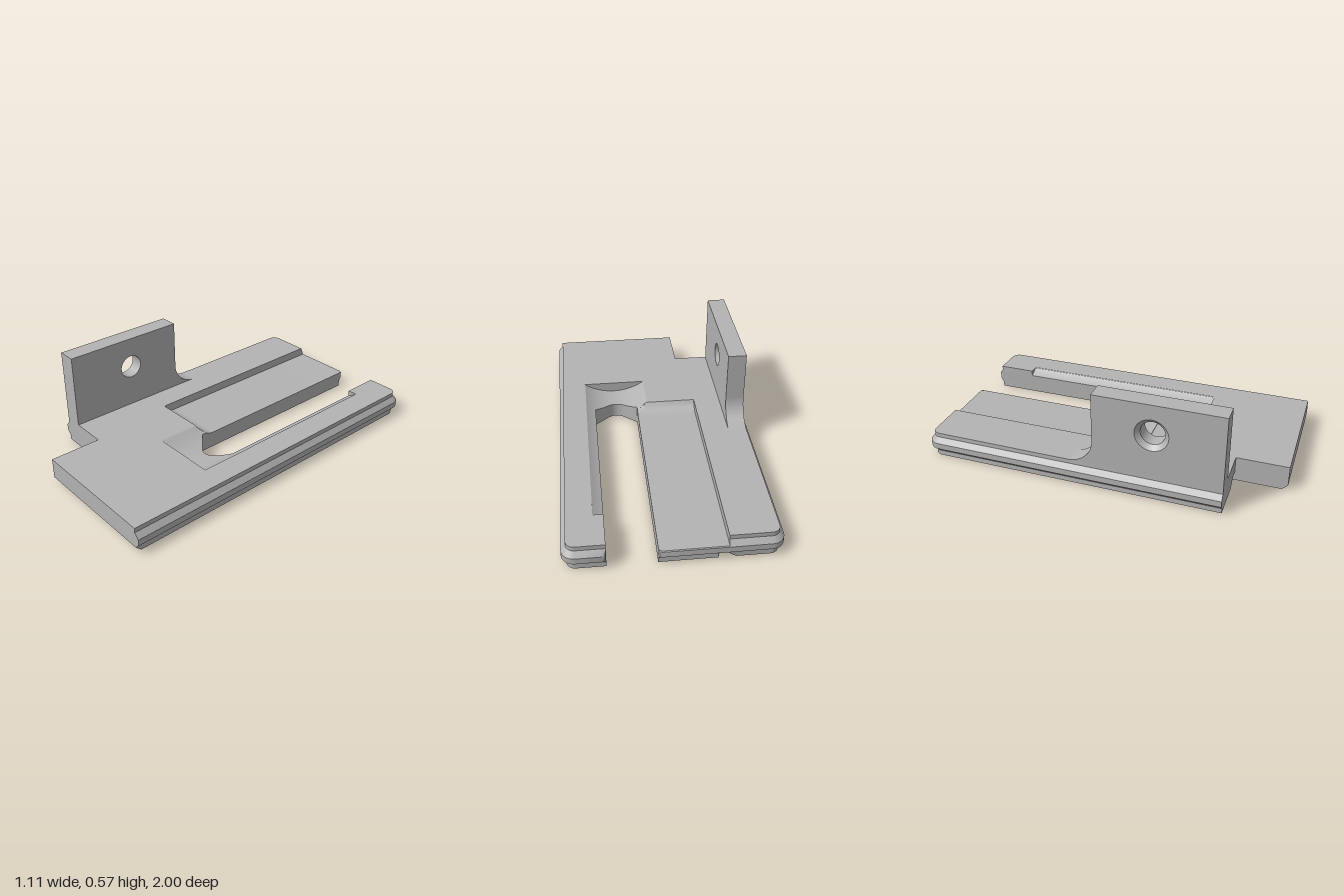
import * as THREE from 'three';
import { toCreasedNormals } from 'three/addons/utils/BufferGeometryUtils.js';

const TOP = 0.145, FLOOR = 0.095, MID = 0.2075;
const LEVELS = [0, 0.03, 0.055, 0.09, 0.12, TOP];
const INSETS = [0.025, 0.025, 0, 0, 0.025, 0.025];

// Inset of the ridged edge at height y
function inset(y) {
  for (let k = 1; k < LEVELS.length; k++) {
    if (y <= LEVELS[k]) {
      const t = (y - LEVELS[k - 1]) / (LEVELS[k] - LEVELS[k - 1]);
      return INSETS[k - 1] + t * (INSETS[k] - INSETS[k - 1]);
    }
  }
  return 0.025;
}

// Height of the round-bottomed trough around the slot
function trough(x) {
  const R = 0.315;
  return Math.min(TOP, TOP + R - 0.06 - Math.sqrt(R * R - (x - MID) ** 2));
}

// Height of the sunken channel, with its curved ramp at the front
function channel(z) {
  const r = 0.089;
  return z <= 0.13 ? FLOOR : Math.min(TOP, FLOOR + r - Math.sqrt(r * r - (z - 0.13) ** 2));
}

// Front end of the slot
function slotEnd(x) {
  const t = Math.abs(x - MID);
  if (t >= 0.1275) return 0.21;
  if (t > 0.045) return 0.21 + (0.1275 - t) * 0.85;
  return 0.28 + 0.016 * (1 - (t / 0.045) ** 2);
}

const range = (a, b, n) => Array.from({ length: n + 1 }, (_, i) => a + ((b - a) * i) / n);

// Surface through rows of points; it faces (row direction) x (direction within a row)
function surface(rows) {
  const out = [];
  const tri = (...p) => {
    const [a, b, c] = p.map((q) => new THREE.Vector3(...q));
    if (b.clone().sub(a).cross(c.clone().sub(a)).length() > 1e-9) p.forEach((q) => out.push(...q));
  };
  for (let i = 0; i + 1 < rows.length; i++) {
    for (let j = 0; j + 1 < rows[i].length; j++) {
      tri(rows[i][j], rows[i + 1][j], rows[i + 1][j + 1]);
      tri(rows[i][j], rows[i + 1][j + 1], rows[i][j + 1]);
    }
  }
  const g = new THREE.BufferGeometry();
  g.setAttribute('position', new THREE.Float32BufferAttribute(out, 3));
  return toCreasedNormals(g, 0.5);
}

const polygon = (pts) => new THREE.ShapeGeometry(new THREE.Shape(pts.map((p) => new THREE.Vector2(...p))));
const topFace = (pts, y) => polygon(pts.map(([x, z]) => [x, -z])).rotateX(-Math.PI / 2).translate(0, y, 0);
const bottomFace = (pts) => polygon(pts).rotateX(Math.PI / 2);

// Rounded back corner, from the side (s = 1 or -1) to the back
const corner = (s, r) => range(0, Math.PI / 2, 8).map((a) => [s * (0.485 + r * Math.cos(a)), -0.93 - r * Math.sin(a)]);

export function createModel() {
  const group = new THREE.Group();
  const grey = new THREE.MeshStandardMaterial({ color: 0xb3b3b3, side: THREE.DoubleSide });
  grey.name = 'grey';
  const add = (name, geometry) => {
    const mesh = new THREE.Mesh(geometry, grey);
    mesh.name = name;
    group.add(mesh);
    return mesh;
  };

  const slotXs = [...range(0.335, 0.2525, 3), ...range(0.2525, 0.1625, 8).slice(1), ...range(0.1625, 0.08, 3).slice(1)];

  // Ridged outer edge and slot walls, one sweep from right front to left front
  const path = [];
  const station = (x, z, nx, nz, y0 = 0, y1 = TOP) => path.push({ x, z, nx, nz, y0, y1 });
  const round = (s) => range(0, Math.PI / 2, 8).map((a) => [s * (0.485 + 0.07 * Math.cos(a)), -0.93 - 0.07 * Math.sin(a), -s * Math.cos(a), Math.sin(a)]);
  station(0.555, 1, -1, 0, 0.03);
  station(0.555, 0.97, -1, 0);
  round(1).forEach((p) => station(...p));
  station(0.355, -1, 0, 1);
  station(0.341, -0.994, -0.24, 0.76);
  station(0.335, -0.98, 0, 0.2);
  station(0.335, -0.975, 0, 0);
  station(0.335, -0.76, 0, 0);
  station(0.335, -0.76, 0, 0, 0, trough(0.335));
  slotXs.forEach((x) => station(x, slotEnd(x), 0, 0, 0, trough(x)));
  range(0.21, 0.13, 8).forEach((z) => station(0.08, z, 0, 0, 0, Math.min(trough(0.08), channel(z))));
  station(0.08, -0.975, 0, 0, 0, FLOOR);
  station(0.08, -0.98, 0, 0.2, 0, FLOOR);
  station(0.075, -0.994, 0.2, 0.76, 0, FLOOR);
  station(0.062, -1, 0, 1, 0, FLOOR);
  station(-0.22, -1, 0, 1, 0, FLOOR);
  station(-0.22, -1, 0, 1, 0.05, FLOOR);
  station(-0.265, -1, 0, 1, 0.05, FLOOR);
  station(-0.27, -1, 0, 1, 0.0444, FLOOR);
  station(-0.27, -1, 0, 1, 0.0444);
  station(-0.31, -1, 0, 1);
  round(-1).reverse().forEach((p) => station(...p));
  station(-0.555, 0.71, 1, 0);
  add('ridgedEdge', surface(path.map((p) => LEVELS.map((level) => {
    const y = Math.min(p.y1, Math.max(p.y0, level)), d = inset(y);
    return [p.x + p.nx * d, y, p.z + p.nz * d];
  }))));

  // Flat top of the plate around the channel and trough
  add('plateTop', topFace([
    [0.53, 1], ...corner(1, 0.045), [0.335, -0.975], [0.335, -0.76], [0.39, -0.76], [0.39, 0.45],
    [0.02, 0.45], [0.02, 0.21], [-0.27, 0.21], [-0.27, -0.975], ...corner(-1, 0.045).reverse(),
    [-0.53, 0.71], [-0.22, 0.71], [-0.22, 1],
  ], TOP));

  // Sunken channel floor and its side wall
  const channelZs = [-0.975, ...range(0.13, 0.21, 10)];
  const channelXs = [-0.27, ...range(0.02, 0.08, 6)];
  add('channelFloor', surface(channelZs.map((z) => channelXs.map((x) =>
    [x, Math.min(channel(z), x < 0.02 ? TOP : trough(x)), z]))));
  add('channelBackLip', topFace([[-0.27, -0.975], [-0.27, -0.996], [0.062, -0.996], [0.075, -0.991], [0.08, -0.975]], FLOOR));
  add('channelWall', surface([...channelZs].reverse().map((z) => [[-0.27, channel(z), z], [-0.27, TOP, z]])
    .concat([[[-0.27, FLOOR, -0.996], [-0.27, FLOOR, -0.996]]])));

  // Round-bottomed trough beside and in front of the slot
  const troughXs = [...range(0.02, 0.08, 6), ...[...slotXs].reverse().slice(1), ...range(0.335, 0.39, 6).slice(1)];
  add('troughFloor', surface([0, 1].map((t) => troughXs.map((x) =>
    [x, trough(x), t ? 0.45 : slotEnd(x)]))));
  add('troughSide', surface([-0.76, 0.21].map((z) => range(0.335, 0.39, 6).map((x) => [x, trough(x), z]))));
  add('troughFrontWall', surface([...troughXs].reverse().map((x) => [[x, trough(x), 0.45], [x, TOP, 0.45]])));
  add('troughBackWall', surface(range(0.335, 0.39, 6).map((x) => [[x, trough(x), -0.76], [x, TOP, -0.76]])));

  // Underside, split by the groove
  add('mainUnderside', bottomFace([
    [0.53, 0.97], ...corner(1, 0.045), [0.335, -0.975], ...slotXs.map((x) => [x, slotEnd(x)]),
    [0.08, -0.975], [-0.22, -0.975], [-0.22, 0.97],
  ]));
  add('sideUnderside', bottomFace([[-0.31, 0.71], [-0.31, -0.975], ...corner(-1, 0.045).reverse(), [-0.53, 0.71]]));
  const groove = [[-0.31, 0], [-0.265, 0.05], [-0.22, 0.05], [-0.22, 0]];
  add('groove', surface([0.71, -1].map((z) => groove.map(([x, y]) => [x, y, z < 0 ? z + inset(y) : z]))));

  // Front faces, chamfer and notch
  add('frontFace', polygon([[0.53, 0.03], [0.555, 0.055], [0.555, 0.09], [0.53, 0.12], [0.53, TOP], [-0.22, TOP], [-0.22, 0.03]]).translate(0, 0, 1));
  add('frontChamfer', surface([[[-0.22, 0, 0.97], [-0.22, 0.03, 1]], [[0.53, 0, 0.97], [0.53, 0.03, 1]]]));
  add('notchFront', polygon([
    [-0.53, 0], [-0.31, 0], [-0.265, 0.05], [-0.22, 0.05], [-0.22, TOP],
    [-0.53, TOP], [-0.53, 0.12], [-0.555, 0.09], [-0.555, 0.055], [-0.53, 0.03],
  ]).translate(0, 0, 0.71));
  add('notchSide', surface([0.71, 0.97, 1].map((z) => [[-0.22, z === 1 ? 0.03 : 0, z], [-0.22, TOP, z]])));

  // Upright tab with a curved foot and a countersunk hole
  const tabLayer = (name, x, depth, radius) => {
    const s = new THREE.Shape();
    s.moveTo(0.71, TOP);
    s.lineTo(0.71, 0.567);
    s.lineTo(0, 0.567);
    s.lineTo(0, 0.285);
    s.absarc(-0.14, 0.285, 0.14, 0, -Math.PI / 2, true);
    s.closePath();
    const hole = new THREE.Path();
    hole.absarc(0.325, 0.39, radius, 0, Math.PI * 2);
    s.holes.push(hole);
    const g = new THREE.ExtrudeGeometry(s, { depth, bevelEnabled: false, curveSegments: 20 });
    add(name, toCreasedNormals(g.rotateY(-Math.PI / 2).translate(x, 0, 0), 0.5));
  };
  tabLayer('tab', -0.425, 0.08, 0.067);
  tabLayer('tabOuterLayer', -0.505, 0.025, 0.092);
  const sink = new THREE.CylinderGeometry(0.092, 0.067, 0.025, 40, 1, true);
  add('countersink', sink.rotateZ(Math.PI / 2).translate(-0.5175, 0.39, 0.325));

  return group;
}
